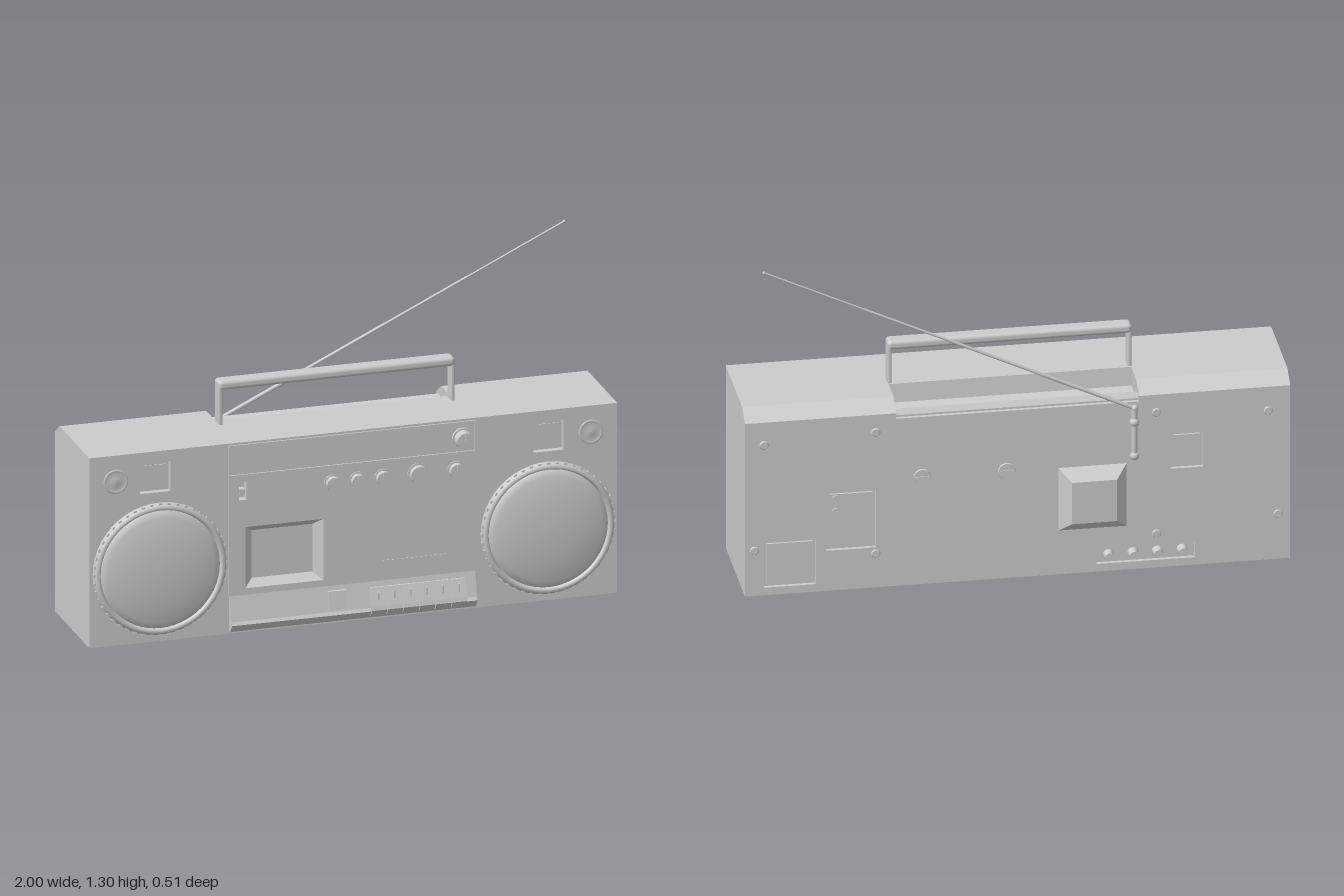
import * as THREE from 'three';
import { RoundedBoxGeometry } from 'three/addons/geometries/RoundedBoxGeometry.js';

export function createModel() {
  const root = new THREE.Group();
  const grey = new THREE.MeshStandardMaterial({ color: 0xcccccc });
  grey.name = 'plainGrey';

  // Helpers
  const add = (name, geo, x = 0, y = 0, z = 0, parent = root) => {
    const m = new THREE.Mesh(geo, grey);
    m.name = name;
    m.position.set(x, y, z);
    parent.add(m);
    return m;
  };
  const box = (name, x0, x1, y0, y1, z0, z1) =>
    add(name, new THREE.BoxGeometry(x1 - x0, y1 - y0, z1 - z0), (x0 + x1) / 2, (y0 + y1) / 2, (z0 + z1) / 2);
  const polygon = (pts) => new THREE.Shape(pts.map(([x, y]) => new THREE.Vector2(x, y)));
  const rect = (x0, x1, y0, y1) => polygon([[x0, y0], [x1, y0], [x1, y1], [x0, y1]]);
  const extrude = (shape, depth) => new THREE.ExtrudeGeometry(shape, { depth, bevelEnabled: false, curveSegments: 32 });
  // Extrude a (z, y) profile along x
  const alongX = (name, pts, x0, x1) => {
    const g = extrude(polygon(pts.map(([z, y]) => [-z, y])), x1 - x0);
    g.rotateY(Math.PI / 2);
    return add(name, g, x0, 0, 0);
  };
  // Round part turned around z, dir 1 faces front, -1 faces back
  const disc = (name, r0, r1, depth, x, y, z, dir = 1, sides = 28) => {
    const g = new THREE.CylinderGeometry(r1, r0, depth, sides);
    g.rotateX(dir * Math.PI / 2);
    return add(name, g, x, y, z + dir * depth / 2);
  };
  const lathe = (name, pts, x, y, z, sides = 56) => {
    const g = new THREE.LatheGeometry(pts.map(([r, h]) => new THREE.Vector2(r, h)), sides);
    g.rotateX(Math.PI / 2);
    return add(name, g, x, y, z);
  };

  // Case core: full-height ends and a middle with the handle trough
  const end = [[0.185, 0], [0.185, 0.73], [-0.15, 0.73], [-0.195, 0.7], [-0.195, 0]];
  alongX('caseRight', end, -1, -0.445);
  alongX('caseLeft', end, 0.445, 1);
  alongX('caseMiddle', [[0.185, 0], [0.185, 0.73], [-0.045, 0.73], [-0.055, 0.66], [-0.15, 0.645],
    [-0.16, 0.685], [-0.185, 0.69], [-0.195, 0.675], [-0.195, 0]], -0.445, 0.445);
  for (const s of [-1, 1]) {
    const x0 = s < 0 ? -1 : 0.445;
    alongX('rearChamfer', [[-0.195, 0.69], [-0.195, 0.7], [-0.21, 0.69]], x0, x0 + 0.555);
  }

  // Front plate with openings
  const front = rect(-1, 1, 0, 0.73);
  front.holes.push(rect(-0.41, -0.115, 0.17, 0.405), rect(-0.435, -0.407, 0.51, 0.58));
  for (const x of [-0.75, 0.74]) front.holes.push(rect(x - 0.057, x + 0.057, 0.572, 0.688));
  add('frontPlate', extrude(front, 0.03), 0, 0, 0.18);

  // Central control panel with tuner strip opening
  const panel = rect(-0.475, 0.465, 0.14, 0.722);
  panel.holes.push(rect(-0.47, 0.46, 0.607, 0.712), rect(-0.41, -0.115, 0.17, 0.405), rect(-0.435, -0.407, 0.51, 0.58));
  add('controlPanel', extrude(panel, 0.006), 0, 0, 0.21);
  box('slideSwitch', -0.431, -0.411, 0.53, 0.55, 0.18, 0.213);
  box('trimLine', 0.11, 0.36, 0.218, 0.222, 0.215, 0.218);

  // Sloping cassette well frame: four-sided funnel
  const well = new THREE.CylinderGeometry(Math.SQRT1_2, Math.SQRT1_2 * 0.78, 1, 4, 1, true, Math.PI / 4).toNonIndexed();
  well.computeVertexNormals();
  well.rotateX(Math.PI / 2);
  well.scale(0.295, 0.235, 0.03);
  const wellMaterial = grey.clone();
  wellMaterial.name = 'wellGrey';
  wellMaterial.side = THREE.DoubleSide;
  add('cassetteWell', well, -0.2625, 0.2875, 0.2).material = wellMaterial;

  // Windows and small tweeters
  for (const s of [-1, 1]) {
    box('meterWindow', s * 0.745 - 0.04, s * 0.745 + 0.04, 0.59, 0.67, 0.18, 0.188);
    lathe('tweeter', [[0.046, 0], [0.046, 0.004], [0.039, 0.005], [0.034, 0.001], [0.02, 0.004], [0, 0.006]],
      s * 0.9, 0.63, 0.21, 32);
  }

  // Main speakers: rim with ridges, and a domed grille
  for (const s of [-1, 1]) {
    const x = s * 0.735, y = 0.28;
    lathe('speakerRim', [[0.252, 0], [0.252, 0.012], [0.245, 0.022], [0.236, 0.026], [0.229, 0.022], [0.225, 0.008]], x, y, 0.21);
    lathe('speakerGrille', [[0.226, 0.006], [0.224, 0.018], [0.2, 0.026], [0.15, 0.035], [0.1, 0.04], [0.05, 0.043], [0, 0.044]], x, y, 0.21);
    for (let i = 0; i < 48; i++) {
      const a = i / 48 * Math.PI * 2;
      const tooth = add('rimRidge', new THREE.BoxGeometry(0.01, 0.012, 0.014),
        x + 0.249 * Math.cos(a), y + 0.249 * Math.sin(a), 0.221);
      tooth.rotation.z = a;
    }
  }

  // Rotary knobs: collar, cap and pointer
  for (const [x, y, r, h] of [[-0.08, 0.54, 0.033, 0.027], [0.015, 0.54, 0.033, 0.027], [0.11, 0.54, 0.033, 0.027],
    [0.245, 0.54, 0.042, 0.027], [0.388, 0.54, 0.034, 0.027], [0.413, 0.658, 0.04, 0.043]]) {
    disc('knobCollar', r, r, 0.012, x, y, 0.208);
    disc('knobCap', r * 0.85, r * 0.78, h, x, y, 0.21);
    box('knobPointer', x - 0.003, x + 0.003, y, y + r * 0.75, 0.21 + h, 0.213 + h);
  }

  // Sloping key console with keys and a square button
  alongX('keyConsole', [[0.2, 0.145], [0.2, 0.01], [0.222, 0.01], [0.245, 0.04], [0.238, 0.052], [0.216, 0.145]], -0.47, 0.46);
  for (let i = 0; i < 6; i++) {
    const x = 0.058 + i * 0.061;
    alongX('tapeKey', [[0.21, 0.125], [0.21, 0.02], [0.235, 0.02], [0.254, 0.045], [0.25, 0.06], [0.228, 0.125]], x, x + 0.057);
    box('keyMark', x + 0.026, x + 0.031, 0.08, 0.11, 0.23, 0.243);
  }
  alongX('squareButton', [[0.21, 0.128], [0.21, 0.06], [0.244, 0.06], [0.231, 0.128]], -0.1, -0.035);

  // Carrying handle
  for (const s of [-1, 1]) {
    add('handleArm', new RoundedBoxGeometry(0.016, 0.215, 0.05, 2, 0.006), s * 0.44, 0.785, -0.014);
  }
  add('handleGrip', new RoundedBoxGeometry(0.896, 0.036, 0.058, 4, 0.014), 0, 0.88, -0.014);

  // Back plate with openings
  const back = polygon([[-1, 0], [1, 0], [1, 0.69], [0.445, 0.69], [0.445, 0.668],
    [-0.445, 0.668], [-0.445, 0.69], [-1, 0.69]]);
  back.holes.push(rect(0.74, 0.93, 0.03, 0.21), rect(0.52, 0.7, 0.16, 0.39), rect(-0.68, -0.56, 0.39, 0.53), rect(-0.65, -0.29, 0.03, 0.09));
  add('backPlate', extrude(back, 0.015), 0, 0, -0.21);
  box('powerCover', 0.75, 0.92, 0.04, 0.2, -0.203, -0.19);
  box('labelPlate', 0.53, 0.69, 0.17, 0.38, -0.203, -0.19);
  box('switchPlate', -0.67, -0.57, 0.4, 0.52, -0.203, -0.19);
  for (const y of [0.36, 0.31]) disc('smallSocket', 0.016, 0.016, 0.006, 0.665, y, -0.203, -1, 16);
  for (const x of [-0.335, -0.425, -0.515, -0.605]) disc('jack', 0.02, 0.015, 0.03, x, 0.06, -0.195, -1, 20);

  // Case screws and slotted coin screws
  for (const [x, y] of [[0.93, 0.6], [0.965, 0.18], [0.52, 0.62], [0.52, 0.135],
    [-0.51, 0.62], [-0.92, 0.595], [-0.955, 0.18], [-0.51, 0.135]]) {
    disc('screw', 0.017, 0.014, 0.004, x, y, -0.21, -1, 16);
  }
  for (const x of [0.35, 0.04]) {
    disc('coinScrew', 0.032, 0.03, 0.005, x, 0.428, -0.21, -1);
    box('coinScrewSlot', x - 0.026, x + 0.026, 0.424, 0.432, -0.218, -0.214);
  }

  // Tapered rear housing
  const hump = new THREE.CylinderGeometry(Math.SQRT1_2 * 0.66, Math.SQRT1_2, 1, 4, 1, false, Math.PI / 4).toNonIndexed();
  hump.computeVertexNormals();
  hump.rotateX(-Math.PI / 2);
  hump.scale(0.25, 0.25, 0.045);
  add('rearHousing', hump, -0.275, 0.3, -0.2325);

  // Antenna: jointed foot and telescopic rod
  const px = -0.428, pz = -0.214;
  add('antennaFoot', new THREE.CylinderGeometry(0.012, 0.01, 0.19, 16), px, 0.55, pz);
  for (const [y, r] of [[0.455, 0.017], [0.59, 0.018], [0.645, 0.013]]) {
    add('antennaJoint', new THREE.SphereGeometry(r, 16, 12), px, y, pz);
  }
  const from = new THREE.Vector3(px, 0.645, pz), to = new THREE.Vector3(0.93, 1.29, -0.212);
  const up = new THREE.Vector3(0, 1, 0), dir = to.clone().sub(from).normalize();
  const stops = [0, 0.25, 0.5, 0.73, 1], radii = [0.0075, 0.006, 0.0048, 0.0036];
  radii.forEach((r, i) => {
    const a = from.clone().lerp(to, stops[i]), b = from.clone().lerp(to, stops[i + 1]);
    const rod = add('antennaSection', new THREE.CylinderGeometry(r, r, a.distanceTo(b), 12));
    rod.position.copy(a).lerp(b, 0.5);
    rod.quaternion.setFromUnitVectors(up, dir);
  });
  add('antennaTip', new THREE.SphereGeometry(0.006, 12, 8), to.x, to.y, to.z);

  return root;
}
